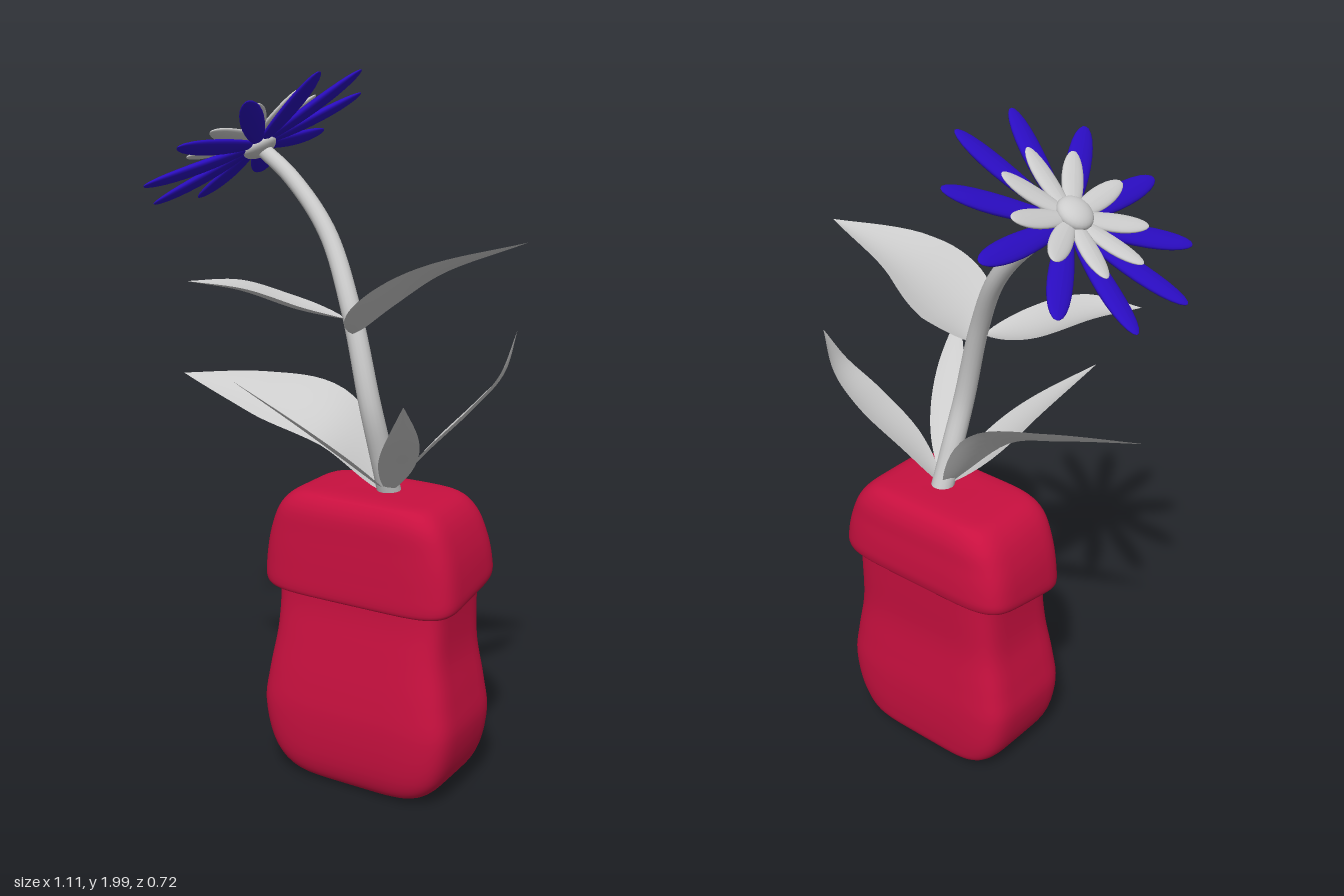
import * as THREE from 'three';

const V = (x, y, z) => new THREE.Vector3(x, y, z);
const grey = new THREE.MeshStandardMaterial({ color: 0xcccccc });
const leafGrey = new THREE.MeshStandardMaterial({ color: 0xcccccc, side: THREE.DoubleSide });
const red = new THREE.MeshStandardMaterial({ color: 0xc8103f });
const blue = new THREE.MeshStandardMaterial({ color: 0x2a0cc0 });

function mesh(name, geometry, material) {
  const m = new THREE.Mesh(geometry, material);
  m.name = name;
  return m;
}

// Skin a grid of points: rows of equal length, optionally closed around each row
function skin(rows, closed) {
  const n = rows[0].length, index = [];
  for (let i = 0; i < rows.length - 1; i++) {
    for (let j = 0; j < (closed ? n : n - 1); j++) {
      const k = (j + 1) % n;
      const a = i * n + j, b = i * n + k, c = a + n, d = b + n;
      index.push(a, c, b, b, c, d);
    }
  }
  const g = new THREE.BufferGeometry().setFromPoints(rows.flat());
  g.setIndex(index);
  g.computeVertexNormals();
  return g;
}

// Rounded-rectangle loft through levels of [y, half width, front z, back z, slant in z]
function potLoft(levels) {
  const POT_X = 0.125, SIDES = 72, SQUARE = 2 / 5.5;
  const curve = (k) => new THREE.CatmullRomCurve3(
    levels.map((l) => V(l[k[0]], l[k[1]], l[k[2]])), false, 'centripetal');
  const size = curve([0, 1, 2]), back = curve([0, 3, 4]);
  const rows = [], steps = (levels.length - 1) * 5;
  for (let i = 0; i <= steps; i++) {
    const s = size.getPoint(i / steps), b = back.getPoint(i / steps);
    const row = [];
    for (let j = 0; j < SIDES; j++) {
      const a = (j / SIDES) * Math.PI * 2, c = Math.cos(a), n = Math.sin(a);
      const px = Math.sign(c) * Math.abs(c) ** SQUARE;
      const pz = Math.sign(n) * Math.abs(n) ** SQUARE;
      const z = pz > 0 ? pz * s.z : pz * b.y;
      row.push(V(POT_X + px * s.y, s.x + b.z * z, z));
    }
    rows.push(row);
  }
  return skin(rows, true);
}

// Pointed leaf along a path; across is the direction of its width
function leaf(name, points, width, across, cup = 0.12, peak = 0.85) {
  const path = new THREE.CatmullRomCurve3(points.map((p) => V(...p)));
  const side = V(...across).normalize(), rows = [];
  for (let i = 0; i <= 24; i++) {
    const t = i / 24, p = path.getPoint(t), dir = path.getTangent(t);
    const s = side.clone().addScaledVector(dir, -side.dot(dir)).normalize();
    const up = s.clone().cross(dir).normalize();
    if (up.y < 0) up.negate();
    const w = (width / 2) * (Math.sin(Math.PI * t ** peak) + 0.12 * (1 - t));
    const row = [];
    for (let j = -4; j <= 4; j++) {
      const u = j / 4;
      row.push(p.clone().addScaledVector(s, u * w).addScaledVector(up, cup * w * (u * u - 0.4)));
    }
    rows.push(row);
  }
  return mesh(name, skin(rows, false), leafGrey);
}

// Petal pointing along +x from the origin, narrow at the base, lifting to the tip
function petalGeometry(length, width, thick, lift, point) {
  const g = new THREE.SphereGeometry(1, 20, 14);
  g.rotateZ(-Math.PI / 2);
  const p = g.attributes.position;
  for (let i = 0; i < p.count; i++) {
    const t = (p.getX(i) + 1) / 2;
    const taper = 0.6 + 0.55 * t - point * t * t;
    p.setXYZ(i, t * length, p.getY(i) * thick / 2 + lift * t * t, p.getZ(i) * taper * width / 2);
  }
  g.computeVertexNormals();
  return g;
}

function petalRing(name, count, start, geometry, material, height) {
  const ring = new THREE.Group();
  ring.name = name + 's';
  ring.position.y = height;
  for (let i = 0; i < count; i++) {
    const m = mesh(name, geometry, material);
    m.rotation.y = start + (i / count) * Math.PI * 2;
    ring.add(m);
  }
  return ring;
}

// Tube whose radius changes from base to tip
function taperedTube(points, r0, r1) {
  const path = new THREE.CatmullRomCurve3(points.map((p) => V(...p)));
  const SEG = 48, RAD = 16;
  const g = new THREE.TubeGeometry(path, SEG, 1, RAD);
  const p = g.attributes.position, v = V(0, 0, 0);
  for (let i = 0; i < p.count; i++) {
    const t = Math.floor(i / (RAD + 1)) / SEG, c = path.getPointAt(t);
    v.fromBufferAttribute(p, i).sub(c).multiplyScalar(r0 + (r1 - r0) * t).add(c);
    p.setXYZ(i, v.x, v.y, v.z);
  }
  return g;
}

export function createModel() {
  const model = new THREE.Group();
  model.name = 'pottedFlower';

  // Pot: waisted body and an overhanging rim that slopes up to the back
  const pot = new THREE.Group();
  pot.name = 'pot';
  pot.add(mesh('potBody', potLoft([
    [0.008, 0.001, 0.001, 0.001, 0], [0.01, 0.13, 0.11, 0.12, 0], [0.03, 0.22, 0.15, 0.16, 0],
    [0.09, 0.272, 0.172, 0.174, 0], [0.22, 0.302, 0.182, 0.18, 0], [0.32, 0.29, 0.175, 0.174, 0],
    [0.44, 0.268, 0.16, 0.166, 0], [0.55, 0.262, 0.148, 0.17, -0.1], [0.64, 0.262, 0.145, 0.174, -0.16],
  ]), red));
  pot.add(mesh('potRim', potLoft([
    [0.606, 0.25, 0.135, 0.165, -0.16], [0.6, 0.29, 0.157, 0.178, -0.16],
    [0.615, 0.303, 0.163, 0.184, -0.16], [0.67, 0.302, 0.163, 0.185, -0.1],
    [0.75, 0.286, 0.16, 0.178, -0.03], [0.82, 0.255, 0.155, 0.168, 0],
    [0.858, 0.215, 0.135, 0.145, 0], [0.87, 0.15, 0.1, 0.11, 0], [0.871, 0.001, 0.001, 0.001, 0],
  ]), red));
  model.add(pot);

  // Stem
  model.add(mesh('stem', taperedTube([
    [0.16, 0.85, -0.01], [0.155, 0.98, 0.035], [0.14, 1.13, 0.073], [0.075, 1.37, 0.06],
    [-0.03, 1.57, 0.012], [-0.16, 1.71, -0.01], [-0.27, 1.79, -0.015],
  ], 0.034, 0.021), grey));

  // Leaves
  const leaves = new THREE.Group();
  leaves.name = 'leaves';
  leaves.add(
    leaf('upperLeftLeaf', [[0.1, 1.32, 0.08], [0.19, 1.405, 0.088], [0.33, 1.5, 0.072], [0.555, 1.585, 0]],
      0.28, [0.1, 0.1, 1], 0.2),
    leaf('upperRightLeaf', [[0.06, 1.355, 0.075], [-0.05, 1.39, 0.14], [-0.17, 1.44, 0.225], [-0.29, 1.457, 0.3]],
      0.19, [0.65, 0, 0.75], 0.2),
    leaf('lowerRightLeaf', [[0.15, 0.87, 0], [0, 1.055, 0.03], [-0.2, 1.115, 0.08], [-0.43, 1.16, 0.14]],
      0.2, [0, 0.5, -0.85]),
    leaf('frontRightLeaf', [[0.155, 0.87, 0.01], [0.08, 0.97, 0.1], [0, 1.08, 0.21], [-0.125, 1.217, 0.34]],
      0.13, [0.8, 0, 0.6]),
    leaf('backLeftLeaf', [[0.165, 0.87, 0], [0.26, 0.99, -0.03], [0.37, 1.115, -0.085], [0.44, 1.21, -0.12], [0.465, 1.327, -0.15]],
      0.12, [0.25, 0, 1], 0.15),
    leaf('frontLeftLeaf', [[0.165, 0.87, 0.01], [0.25, 0.98, 0.12], [0.34, 1.1, 0.25], [0.4, 1.217, 0.358]],
      0.095, [0.85, 0, -0.5], 0.15),
  );
  model.add(leaves);

  // Flower head, tilted towards the model's right
  const flower = new THREE.Group();
  flower.name = 'flowerHead';
  flower.position.set(-0.27, 1.793, -0.015);
  flower.rotation.z = THREE.MathUtils.degToRad(34);
  flower.add(petalRing('outerPetal', 10, Math.PI / 2,
    petalGeometry(0.35, 0.078, 0.028, 0.018, 0.1), blue, 0));
  flower.add(petalRing('innerPetal', 9, -0.09,
    petalGeometry(0.205, 0.075, 0.022, 0.022, 0.3), grey, 0.022));
  const disc = mesh('flowerCentre', new THREE.SphereGeometry(0.05, 24, 16), grey);
  disc.scale.y = 0.55;
  disc.position.y = 0.033;
  const base = mesh('flowerBase', new THREE.SphereGeometry(0.05, 24, 16), grey);
  base.scale.y = 0.5;
  base.position.y = -0.008;
  flower.add(disc, base);
  model.add(flower);

  return model;
}
